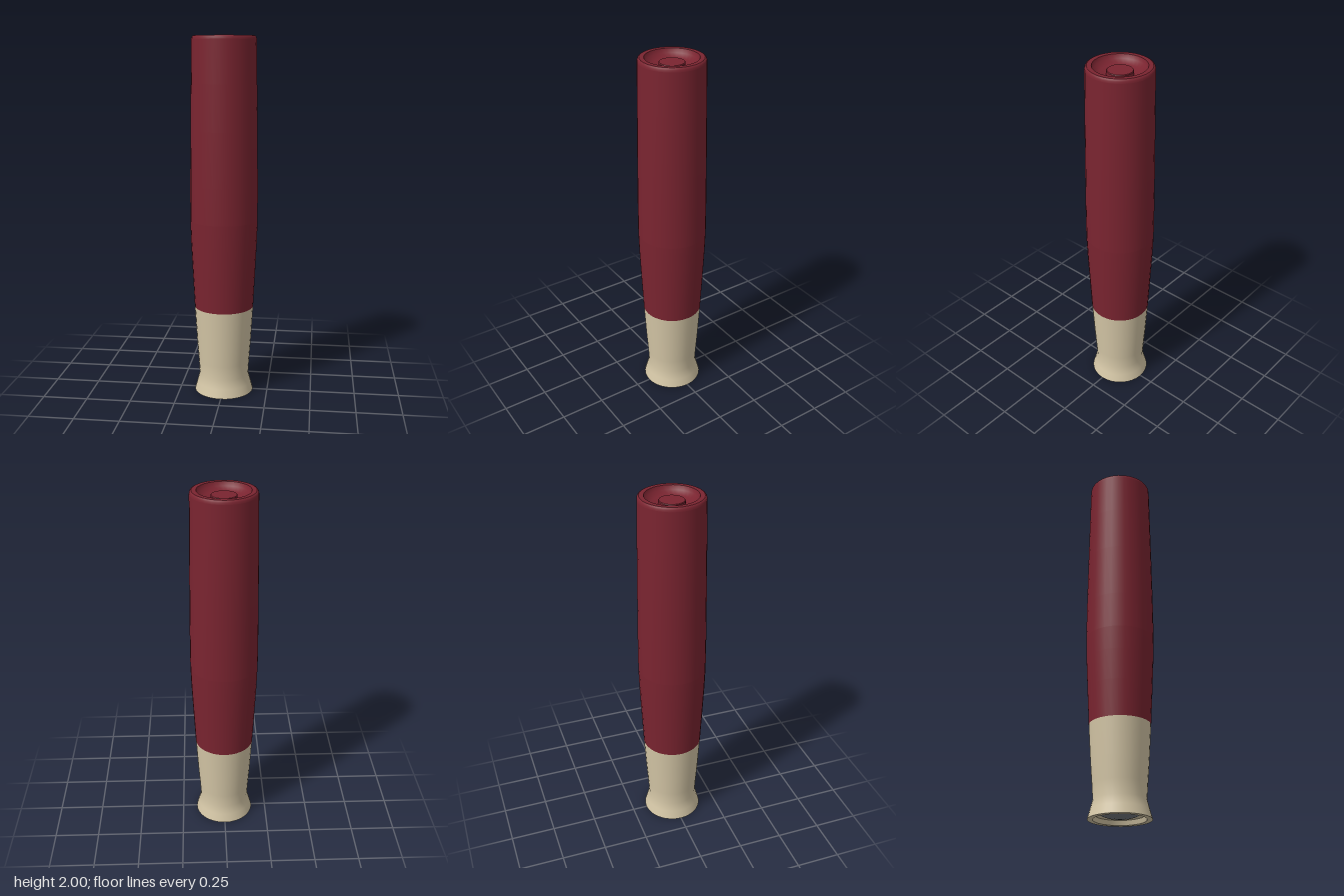
import * as THREE from 'three';

const SIDES = 32;

export function createModel() {
  const group = new THREE.Group();
  const material = (name, color) => {
    const m = new THREE.MeshStandardMaterial({ color });
    m.name = name;
    return m;
  };
  const red = material('dark red', 0x7a2430);
  const tan = material('tan', 0xd4c6a6);
  const grey = material('grey', 0x73777c);

  // Revolves an [r, y] profile; outer walls run upward, tops run inward, undersides outward
  const revolve = (name, mat, profile) => {
    const points = profile.map(([r, y]) => new THREE.Vector2(r, y));
    const mesh = new THREE.Mesh(new THREE.LatheGeometry(points, SIDES), mat);
    mesh.name = name;
    group.add(mesh);
  };

  // Swelling grip and its bevelled top rim
  revolve('lowerGrip', red, [[0.166, 0.5], [0.176, 0.7], [0.184, 0.87], [0.188, 1.0]]);
  revolve('upperGrip', red, [[0.188, 1.0], [0.187, 1.2], [0.183, 1.5], [0.179, 1.75], [0.175, 1.98]]);
  revolve('rimBevel', red, [[0.175, 1.98], [0.174, 1.99], [0.17, 1.997], [0.164, 2.0]]);
  revolve('topRim', red, [[0.164, 2.0], [0.14, 2.0]]);

  // Dished recess with a raised button
  revolve('topDish', red, [[0.14, 2.0], [0.132, 1.978], [0.105, 1.96], [0.06, 1.95]]);
  revolve('buttonSide', red, [[0.068, 1.945], [0.068, 1.972]]);
  revolve('buttonBevel', red, [[0.068, 1.972], [0.065, 1.976]]);
  revolve('buttonTop', red, [[0.065, 1.976], [0, 1.976]]);

  // Neck with a flared foot
  revolve('neck', tan, [[0.167, 0], [0.153, 0.05], [0.14, 0.1], [0.145, 0.18], [0.154, 0.3], [0.166, 0.5]]);

  // Underside: flat lip, stepped socket and a domed insert
  revolve('footLip', tan, [[0.138, 0], [0.167, 0]]);
  revolve('socketWall', tan, [[0.13, 0.025], [0.138, 0]]);
  revolve('socketFloor', tan, [[0.09, 0.025], [0.13, 0.025]]);
  revolve('bottomInsert', grey, [[0, 0.01], [0.04, 0.0115], [0.075, 0.016], [0.1, 0.025]]);

  return group;
}
